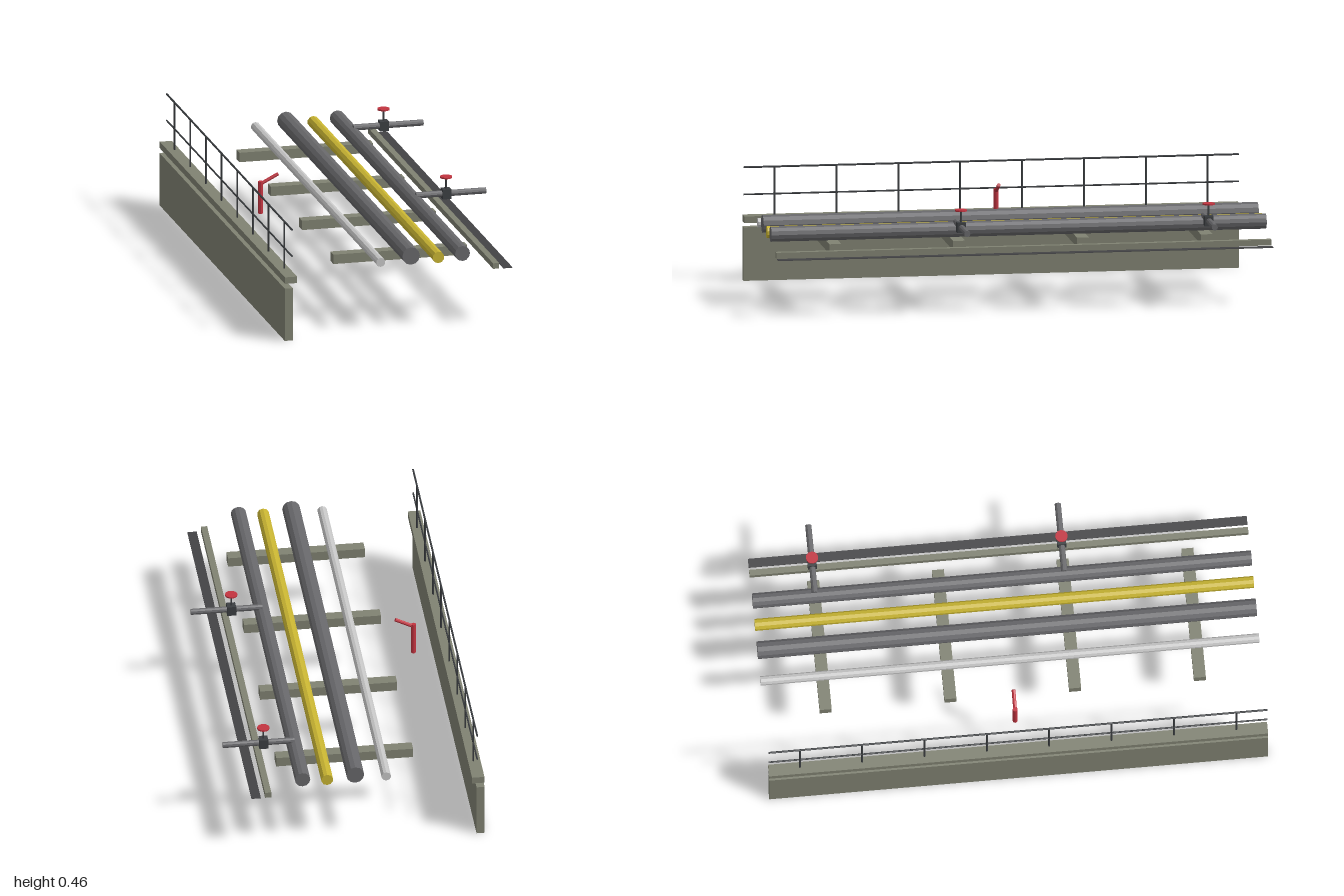
import * as THREE from 'three';

const mat = (name, color) => {
  const m = new THREE.MeshStandardMaterial({ color, flatShading: true });
  m.name = name;
  return m;
};

export function createModel() {
  const concrete = mat('concrete', 0x808272);
  const steel = mat('dark steel', 0x3c3f42);
  const pipeGrey = mat('pipe grey', 0x67676a);
  const silver = mat('silver', 0xc6c6c6);
  const yellow = mat('yellow', 0xc8b432);
  const red = mat('red', 0xc23440);
  const asphalt = mat('asphalt', 0x434345);

  const model = new THREE.Group();
  model.name = 'pipeRack';

  const add = (name, geometry, material, x, y, z, parent = model) => {
    const mesh = new THREE.Mesh(geometry, material);
    mesh.name = name;
    mesh.position.set(x, y, z);
    parent.add(mesh);
    return mesh;
  };
  // box from x and y limits, centred on z
  const slab = (name, material, x0, x1, y0, y1, z, depth) =>
    add(name, new THREE.BoxGeometry(x1 - x0, y1 - y0, depth), material, (x0 + x1) / 2, (y0 + y1) / 2, z);
  const pipeAlongZ = (name, material, x, y, r, sides) =>
    add(name, new THREE.CylinderGeometry(r, r, 2, sides).rotateX(Math.PI / 2), material, x, y, 0);

  // retaining wall and its coping
  slab('wall', concrete, -0.511, -0.478, 0, 0.217, 0, 2);
  slab('wallCoping', concrete, -0.51, -0.46, 0.237, 0.264, 0, 2);

  // railing on the coping
  for (let i = 0; i < 8; i++)
    add('railPost', new THREE.CylinderGeometry(0.004, 0.004, 0.197, 6), steel, -0.481, 0.3625, -0.875 + i * 0.25);
  pipeAlongZ('topRail', steel, -0.481, 0.46, 0.004, 6);
  pipeAlongZ('midRail', steel, -0.481, 0.35, 0.0035, 6);

  // red standpipe with a slanted outlet
  add('standpipe', new THREE.CylinderGeometry(0.01, 0.01, 0.133, 8), red, -0.353, 0.3035, 0);
  const outlet = add('standpipeOutlet', new THREE.CylinderGeometry(0.0075, 0.0075, 0.076, 8), red, -0.314, 0.379, 0);
  outlet.rotation.z = -1.1;

  // sleepers carrying the pipes
  for (const z of [-0.75, -0.25, 0.25, 0.75])
    slab('sleeper', concrete, -0.252, 0.299, 0.237, 0.276, z, 0.048);

  // long pipes
  pipeAlongZ('silverPipe', silver, -0.115, 0.298, 0.019, 10);
  pipeAlongZ('largePipe', pipeGrey, 0.01, 0.315, 0.036, 12);
  pipeAlongZ('yellowPipe', yellow, 0.123, 0.301, 0.024, 10);
  pipeAlongZ('mediumPipe', pipeGrey, 0.222, 0.31, 0.031, 12);

  // branch pipes with valve and handwheel
  for (const z of [-0.75, 0.25]) {
    const branch = new THREE.Group();
    branch.name = 'valveBranch';
    branch.position.set(0, 0, z);
    model.add(branch);
    add('branchPipe', new THREE.CylinderGeometry(0.0125, 0.0125, 0.288, 10).rotateZ(Math.PI / 2), pipeGrey, 0.367, 0.34, 0, branch);
    add('valveBody', new THREE.BoxGeometry(0.036, 0.04, 0.036), steel, 0.348, 0.34, 0, branch);
    add('valveStem', new THREE.CylinderGeometry(0.004, 0.004, 0.046, 6), steel, 0.348, 0.383, 0, branch);
    add('handwheel', new THREE.CylinderGeometry(0.025, 0.025, 0.006, 12), red, 0.348, 0.408, 0, branch);
  }

  // kerb and asphalt strip
  slab('kerb', concrete, 0.348, 0.373, 0.237, 0.26, 0, 2);
  slab('asphaltStrip', asphalt, 0.39, 0.428, 0.236, 0.238, 0, 2);

  return model;
}
